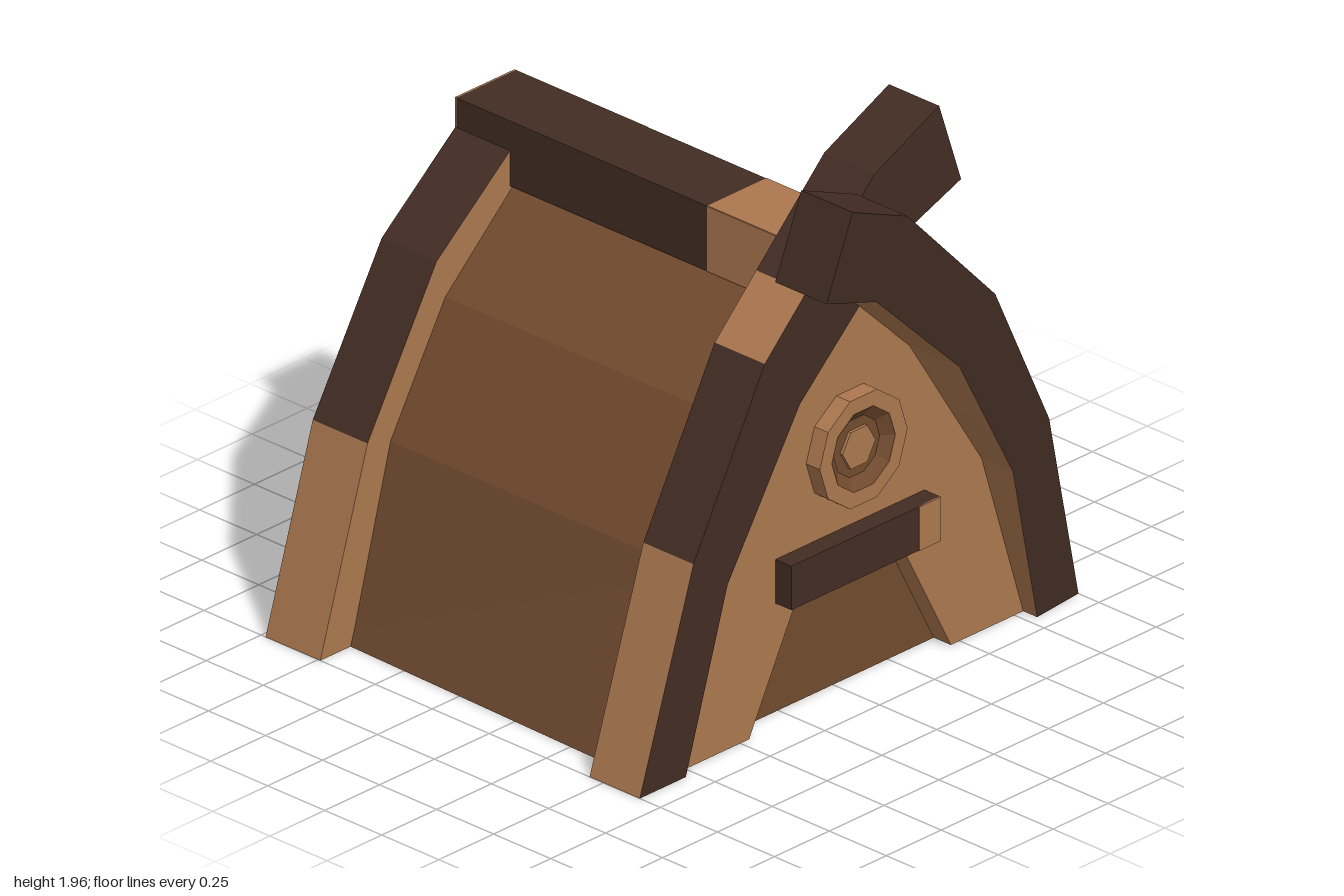
import * as THREE from 'three';

const paint = (name, color) => {
  const m = new THREE.MeshStandardMaterial({ color, side: THREE.DoubleSide });
  m.name = name;
  return m;
};

// Flat quads, each corner an [x, y, z]
function quadGeometry(quads) {
  const pos = [];
  for (const [a, b, c, d] of quads) pos.push(...a, ...b, ...c, ...a, ...c, ...d);
  const g = new THREE.BufferGeometry();
  g.setAttribute('position', new THREE.Float32BufferAttribute(pos, 3));
  g.computeVertexNormals();
  return g;
}

const mirrorX = (pts) => pts.map(([x, y]) => [-x, y]).reverse();
const bothSides = (pts) => [...pts, ...mirrorX(pts)];
const toShape = (pts) => new THREE.Shape(pts.map(([x, y]) => new THREE.Vector2(x, y)));

export function createModel() {
  const group = new THREE.Group();
  const light = paint('light wood', 0xac784f);
  const dark = paint('dark wood', 0x432d24);
  const mid = paint('roof brown', 0x724b2f);

  const add = (name, geo, mat, x = 0, y = 0, z = 0, parent = group) => {
    const m = new THREE.Mesh(geo, mat);
    m.name = name;
    m.position.set(x, y, z);
    parent.add(m);
  };

  // Beam swept through pairs of outer and inner points, from the left foot on, open below.
  // colours: one letter per segment for outer, front and back; inner faces are light.
  function beam(name, { outer, inner, innerBack = inner, zFront, depth, colours, mirrored = false, topEnd = true }) {
    const bins = { L: [], D: [] };
    const at = ([x, y], back) => [mirrored ? -x : x, y, zFront(x, y) - (back ? depth : 0)];
    const put = (key, quad) => bins[key].push(mirrored ? quad.reverse() : quad);
    const n = outer.length - 1;
    const ring = (i) => [at(outer[i]), at(outer[i], true), at(innerBack[i], true), at(inner[i])];
    for (let i = 0; i < n; i++) {
      const [of, ob, nb, nf] = ring(i);
      const [of2, ob2, nb2, nf2] = ring(i + 1);
      put(colours.outer[i], [of, ob, ob2, of2]);
      put('L', [nb, nf, nf2, nb2]);
      put(colours.front[i], [nf, of, of2, nf2]);
      put(colours.back[i], [ob, nb, nb2, ob2]);
    }
    if (topEnd) put('D', ring(n));
    const part = new THREE.Group();
    part.name = name;
    add(name + 'Light', quadGeometry(bins.L), light, 0, 0, 0, part);
    add(name + 'Dark', quadGeometry(bins.D), dark, 0, 0, 0, part);
    group.add(part);
  }

  // Crossed front beams: one leans forward, the other stands upright
  beam('leaningFrontBeam', {
    outer: [[1, 0], [0.77, 0.735], [0.55, 1.12], [0.43, 1.33], [0.02, 1.732], [-0.07, 1.82], [-0.365, 1.955]],
    inner: [[0.79, 0], [0.6, 0.61], [0.45, 0.846], [0.27, 1.13], [-0.1, 1.469], [-0.2, 1.56], [-0.465, 1.66]],
    zFront: (x, y) => 0.66 + 0.095 * y + 0.1 * (1 - x), depth: 0.225,
    colours: { outer: 'LLDLDD', front: 'DDDDDD', back: 'DDDDDL' },
  });
  beam('uprightFrontBeam', {
    outer: [[1, 0], [0.755, 0.74], [0.43, 1.33], [0.24, 1.516], [-0.07, 1.82], [-0.365, 1.955]],
    inner: [[0.79, 0], [0.6, 0.61], [0.27, 1.13], [0.1, 1.286], [-0.2, 1.56], [-0.465, 1.66]],
    zFront: () => 0.66, depth: 0.22, mirrored: true,
    colours: { outer: 'LDLDD', front: 'DDDDD', back: 'DDDDL' },
  });

  // Back arch, one piece from foot to foot, its opening narrowing inwards
  const archOuter = [[1, 0], [0.785, 0.69], [0.47, 1.22], [0.135, 1.49]];
  const archInner = [[0.8, 0], [0.62, 0.6], [0.33, 1.05], [0.1, 1.27]];
  const archInnerFront = archInner.map(([x, y]) => [x * 0.93, y * 0.96]);
  beam('backArch', {
    outer: bothSides(archOuter), inner: bothSides(archInnerFront), innerBack: bothSides(archInner),
    zFront: () => -0.74, depth: 0.24, topEnd: false,
    colours: { outer: 'LDDDDDL', front: 'LLLLLLL', back: 'LLLLLLL' },
  });
  add('backPanel', new THREE.ExtrudeGeometry(toShape(bothSides(archInner)),
    { depth: 0.08, bevelEnabled: false }), light, 0, 0, -0.85);

  // Roof shell, a little wider at the front foot
  const half = [[0.9, 0], [0.68, 0.66], [0.43, 1.08], [0.1, 1.38]];
  const profile = bothSides(half);
  const back = profile.map(([x, y]) => [y === 0 ? x * 0.955 : x, y]);
  const roof = [];
  for (let i = 0; i < profile.length - 1; i++) {
    roof.push([[...profile[i], 0.6], [...back[i], -0.85], [...back[i + 1], -0.85], [...profile[i + 1], 0.6]]);
  }
  add('roof', quadGeometry(roof), mid);

  // Front wall with a doorway cut from its lower edge
  const wall = [[0.46, 0], ...bothSides(half.map(([x, y]) => [x - 0.01, y])),
    [-0.46, 0], [-0.22, 0.46], [0.22, 0.46]];
  add('frontWall', new THREE.ExtrudeGeometry(toShape(wall),
    { depth: 0.1, bevelEnabled: false }), light, 0, 0, 0.52);
  add('door', new THREE.ShapeGeometry(toShape([[-0.46, 0], [0.46, 0], [0.22, 0.46], [-0.22, 0.46]])),
    mid, 0, 0, 0.545);

  // Ridge beam with lighter patches
  add('ridgeBeam', new THREE.BoxGeometry(0.27, 0.23, 1.6), dark, 0, 1.48, -0.175);
  add('ridgeTopPatch', new THREE.BoxGeometry(0.27, 0.006, 0.5), light, 0, 1.594, 0.375);
  add('ridgeLeftPatch', new THREE.BoxGeometry(0.006, 0.23, 0.58), light, 0.134, 1.48, -0.69);
  add('ridgeRightPatch', new THREE.BoxGeometry(0.006, 0.23, 0.5), light, -0.134, 1.48, 0.375);
  add('ridgeBackPatch', new THREE.BoxGeometry(0.27, 0.23, 0.008), light, 0, 1.48, -0.978);

  // Lintel board over the door
  add('lintel', new THREE.BoxGeometry(0.68, 0.155, 0.08), dark, 0, 0.515, 0.65);
  add('lintelPatch', new THREE.BoxGeometry(0.1, 0.155, 0.006), light, 0.29, 0.515, 0.69);

  // Round window: ten-sided frame, sunken ring and six-sided centre
  const polygon = (r, n, Type) => new Type(Array.from({ length: n }, (_, i) =>
    new THREE.Vector2(r * Math.cos(i * 2 * Math.PI / n), r * Math.sin(i * 2 * Math.PI / n))));
  const frame = polygon(0.2, 10, THREE.Shape);
  frame.holes.push(polygon(0.145, 10, THREE.Path));
  add('windowFrame', new THREE.ExtrudeGeometry(frame, { depth: 0.07, bevelEnabled: false }),
    light, 0, 0.88, 0.61);
  const funnel = new THREE.CylinderGeometry(0.145, 0.105, 0.03, 10, 1, true)
    .rotateX(Math.PI / 2).rotateZ(Math.PI / 2).toNonIndexed();
  funnel.computeVertexNormals();
  // The funnel is seen from inside, so its corners are turned round
  funnel.scale(1, 1, 1);
  add('windowFunnel', funnel, mid, 0, 0.88, 0.664);
  add('windowRing', new THREE.ShapeGeometry(polygon(0.145, 10, THREE.Shape)), mid, 0, 0.88, 0.649);
  add('windowCentre', new THREE.ExtrudeGeometry(polygon(0.075, 6, THREE.Shape),
    { depth: 0.05, bevelEnabled: false }), light, 0, 0.88, 0.61);

  return group;
}
